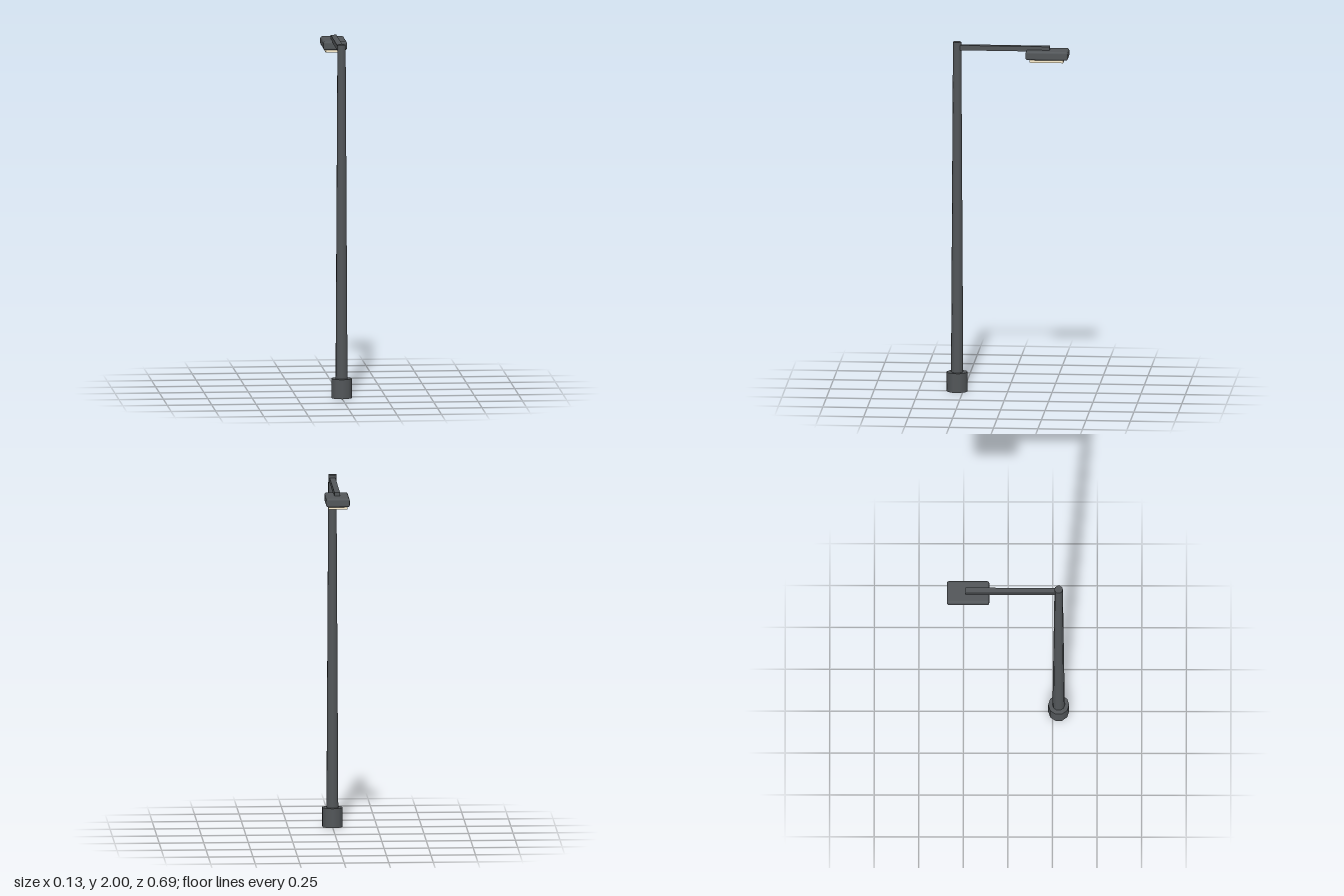
import * as THREE from 'three';
import { RoundedBoxGeometry } from 'three/addons/geometries/RoundedBoxGeometry.js';

const POLE_Z = 0.284;
const SIDES = 10;

export function createModel() {
  const model = new THREE.Group();
  model.name = 'streetLamp';

  const metal = new THREE.MeshStandardMaterial({ color: 0x53575a });
  const glow = new THREE.MeshStandardMaterial({ color: 0xfff1d0 });

  const add = (name, geometry, material, x, y, z) => {
    const mesh = new THREE.Mesh(geometry, material);
    mesh.name = name;
    mesh.position.set(x, y, z);
    model.add(mesh);
    return mesh;
  };

  // Footing and tapered pole
  add('base', new THREE.CylinderGeometry(0.059, 0.059, 0.11, SIDES), metal, 0, 0.055, POLE_Z);
  add('pole', new THREE.CylinderGeometry(0.0236, 0.035, 2, SIDES), metal, 0, 1, POLE_Z);

  // Arm reaching back from the pole's axis onto the lamp head
  const armEnd = -0.238;
  add('arm', new THREE.BoxGeometry(0.032, 0.028, POLE_Z - armEnd), metal,
    0, 1.969, (POLE_Z + armEnd) / 2);

  // Lamp head with softened edges, and the light panel below it
  add('lampHead', new RoundedBoxGeometry(0.132, 0.05, 0.238, 2, 0.012), metal, 0, 1.938, -0.224);
  add('lightPanel', new THREE.BoxGeometry(0.105, 0.022, 0.19), glow, 0, 1.909, -0.222);

  return model;
}
